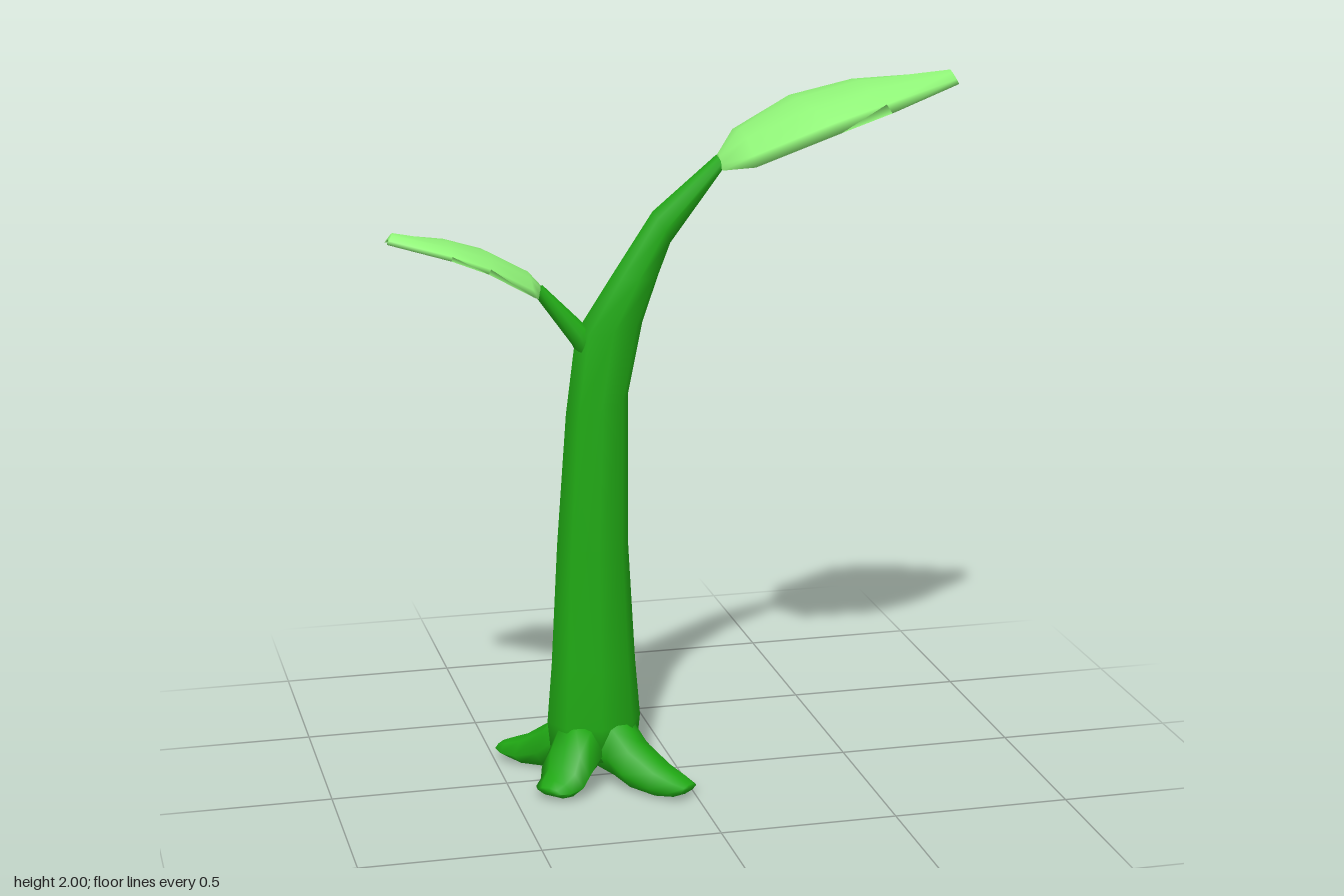
import * as THREE from 'three';

const stemGreen = new THREE.MeshStandardMaterial({ color: 0x20a814 });
const leafGreen = new THREE.MeshStandardMaterial({ color: 0x90f478 });

// Joins rings of points into a closed, smooth skin with capped ends.
function loft(name, rings, material) {
  const n = rings[0].length, last = rings.length - 1;
  const points = rings.flat(), index = [];
  for (let i = 0; i < last; i++) {
    for (let j = 0; j < n; j++) {
      const a = i * n + j, b = i * n + (j + 1) % n;
      index.push(a, b, a + n, b, b + n, a + n);
    }
  }
  for (const end of [0, last]) {
    const mid = new THREE.Vector3();
    rings[end].forEach(p => mid.addScaledVector(p, 1 / n));
    const c = points.push(mid) - 1;
    for (let j = 0; j < n; j++) {
      const a = end * n + j, b = end * n + (j + 1) % n;
      index.push(...(end ? [a, b, c] : [b, a, c]));
    }
  }
  // Turn the faces outwards if the enclosed volume is negative.
  let volume = 0;
  const cross = new THREE.Vector3();
  for (let i = 0; i < index.length; i += 3) {
    const [p, q, r] = [0, 1, 2].map(k => points[index[i + k]]);
    volume += p.dot(cross.crossVectors(q, r));
  }
  if (volume < 0) index.reverse();
  const geometry = new THREE.BufferGeometry().setFromPoints(points);
  geometry.setIndex(index);
  geometry.computeVertexNormals();
  const mesh = new THREE.Mesh(geometry, material);
  mesh.name = name;
  return mesh;
}

// Elliptical ring between two silhouette points, with half depth d along z.
function stemRing([x1, y1, x2, y2, d], sides = 8) {
  return Array.from({ length: sides }, (_, j) => {
    const a = j / sides * Math.PI * 2, t = 0.5 + 0.5 * Math.cos(a);
    return new THREE.Vector3(x1 + (x2 - x1) * t, y1 + (y2 - y1) * t, Math.sin(a) * d);
  });
}

// Cupped leaf section: domed top, low rim, shallow hollow underneath.
function leafRing([xTop, top, xRim, rim, w]) {
  const section = [[-1, 0], [-0.9, 0.35], [-0.5, 0.82], [0, 1], [0.5, 0.82], [0.9, 0.35],
    [1, 0], [0.55, 0.25], [0, 0.4], [-0.55, 0.25]];
  return section.map(([z, t]) =>
    new THREE.Vector3(xRim + (xTop - xRim) * t, rim + (top - rim) * t, z * w));
}

// Root running outwards from the stem foot to the tip at (x, z).
function root(x, z) {
  const out = new THREE.Vector3(x, 0, z), reach = out.length();
  out.normalize();
  const side = new THREE.Vector3(-out.z, 0, out.x);
  // Each row: distance, bottom, top, half width
  const rows = [[0, 0.06, 0.2, 0.06], [0.1, 0.04, 0.2, 0.085], [0.15, 0.015, 0.14, 0.08],
    [reach * 0.72, 0.005, 0.085, 0.072], [reach * 0.9, 0.012, 0.06, 0.06], [reach, 0.025, 0.045, 0.04]];
  const section = [[-1, 0.4], [-0.6, 0.85], [0, 1], [0.6, 0.85], [1, 0.4], [0.5, 0], [-0.5, 0]];
  return loft('root', rows.map(([d, low, high, w]) => section.map(([s, t]) =>
    new THREE.Vector3(-0.245, low + (high - low) * t, 0)
      .addScaledVector(out, d).addScaledVector(side, s * w))), stemGreen);
}

export function createModel() {
  const model = new THREE.Group();
  model.name = 'sprout';

  // Stem: left edge x, y, right edge x, y, half depth
  model.add(loft('stem', [
    [-0.37, 0.08, -0.12, 0.08, 0.1],
    [-0.38, 0.18, -0.11, 0.18, 0.11],
    [-0.366, 0.35, -0.124, 0.35, 0.097],
    [-0.347, 0.7, -0.143, 0.7, 0.085],
    [-0.318, 1.08, -0.141, 1.13, 0.072],
    [-0.288, 1.31, -0.1, 1.33, 0.064],
    [-0.19, 1.46, -0.055, 1.46, 0.058],
    [-0.07, 1.64, -0.02, 1.55, 0.05],
    [0.11, 1.79, 0.13, 1.75, 0.025],
  ].map(r => stemRing(r)), stemGreen));

  // Side shoot
  model.add(loft('sideShoot', [
    [-0.26, 1.2, -0.19, 1.3, 0.045],
    [-0.3, 1.28, -0.265, 1.335, 0.036],
    [-0.4, 1.42, -0.38, 1.45, 0.018],
  ].map(r => stemRing(r)), stemGreen));

  // Leaves: top x, y, rim x, y, half width
  model.add(loft('largeLeaf', [
    [0.115, 1.795, 0.12, 1.75, 0.03],
    [0.175, 1.86, 0.18, 1.778, 0.155],
    [0.34, 1.938, 0.395, 1.877, 0.24],
    [0.52, 1.98, 0.55, 1.918, 0.2],
    [0.78, 2.0, 0.8, 1.962, 0.022],
  ].map(leafRing), leafGreen));
  model.add(loft('smallLeaf', [
    [-0.385, 1.45, -0.395, 1.415, 0.02],
    [-0.42, 1.49, -0.425, 1.44, 0.1],
    [-0.53, 1.55, -0.555, 1.52, 0.15],
    [-0.64, 1.585, -0.65, 1.555, 0.125],
    [-0.79, 1.615, -0.808, 1.587, 0.018],
  ].map(leafRing), leafGreen));

  // Four spreading roots
  const roots = new THREE.Group();
  roots.name = 'roots';
  for (const [x, z] of [[-0.22, -0.235], [0.22, 0.235], [0.165, -0.165], [-0.165, 0.165]]) {
    roots.add(root(x, z));
  }
  model.add(roots);
  return model;
}
